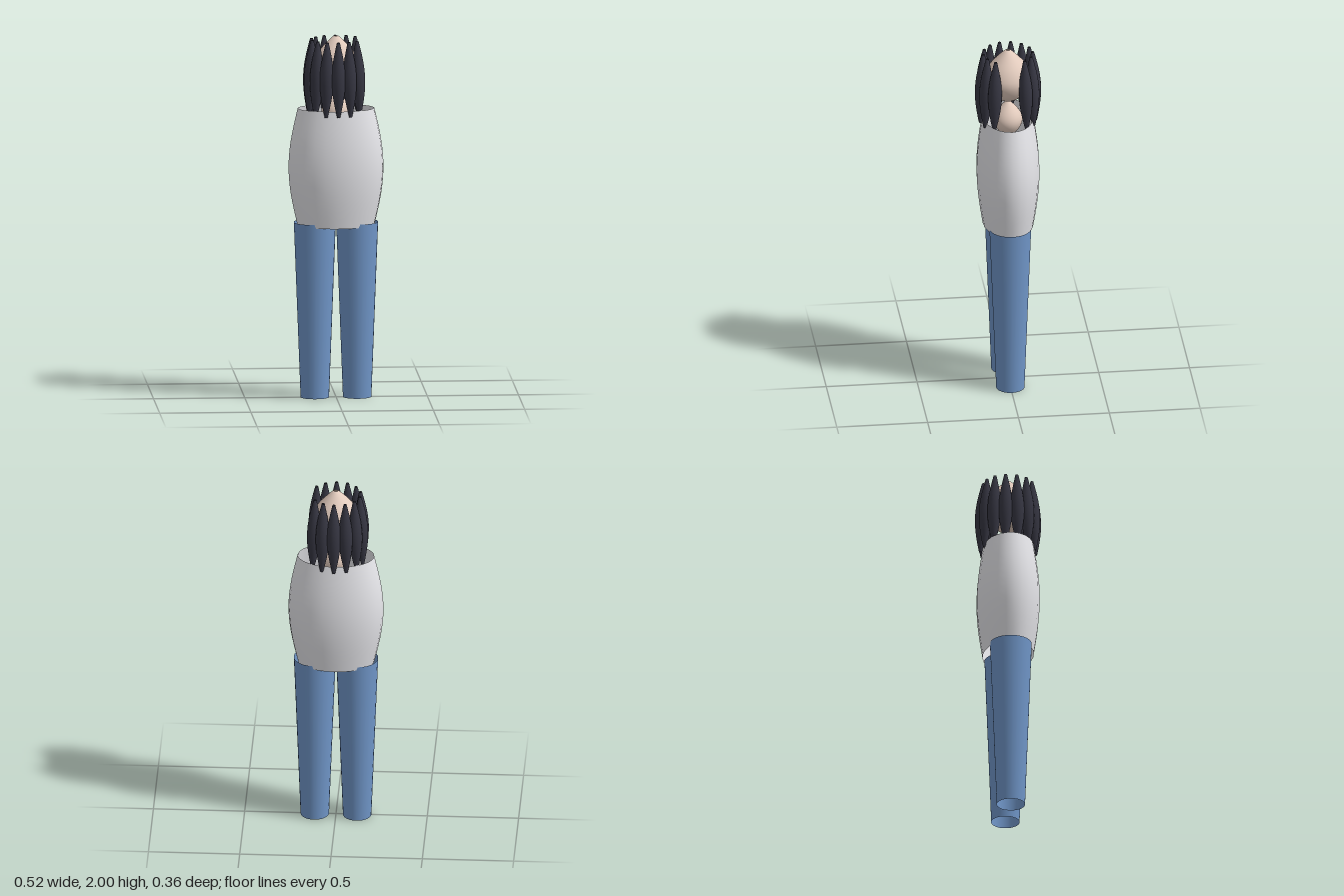
import * as THREE from 'three';

const material = (color) => new THREE.MeshStandardMaterial({ color, side: THREE.DoubleSide });

// Open lathe along y whose radius swells from `end` by `bulge` in the middle
function barrel(y0, y1, end, bulge, sides, rows = 14) {
  const points = [];
  for (let i = 0; i <= rows; i++) {
    const t = i / rows;
    points.push(new THREE.Vector2(end + bulge * Math.sin(Math.PI * t), y0 + (y1 - y0) * t));
  }
  return new THREE.LatheGeometry(points, sides);
}

export function createModel() {
  const model = new THREE.Group();
  const denim = material(0x7096c8);
  const cloth = material(0xe6e6ea);
  const skin = material(0xe2cbbd);
  const hair = material(0x363642);

  const add = (name, geometry, mat, parent = model) => {
    const mesh = new THREE.Mesh(geometry, mat);
    mesh.name = name;
    parent.add(mesh);
    return mesh;
  };

  // Trouser legs: open tapered tubes
  for (const side of [-1, 1]) {
    const leg = add(side > 0 ? 'leftLeg' : 'rightLeg',
      new THREE.CylinderGeometry(0.115, 0.078, 0.97, 24, 1, true), denim);
    leg.position.set(side * 0.116, 0.485, 0);
  }

  // Shirt: open oval barrel
  const torso = add('torso', barrel(0.95, 1.6, 0.21, 0.05, 24), cloth);
  torso.scale.z = 0.66;

  // Neck, pinched where it meets the head
  add('neck', barrel(1.47, 1.69, 0.01, 0.07, 24), skin);

  // Egg-shaped head with a small opening at the crown
  const outline = new THREE.SplineCurve([
    [0.01, 1.69], [0.06, 1.715], [0.107, 1.76], [0.13, 1.83],
    [0.105, 1.9], [0.06, 1.955], [0.022, 1.993], [0.01, 2.0],
  ].map(([r, y]) => new THREE.Vector2(r, y)));
  add('head', new THREE.LatheGeometry(outline.getPoints(21), 24), skin);

  // Ring of spindle-shaped locks, leaning inwards, with a gap at the left side
  const locks = new THREE.Group();
  locks.name = 'hair';
  model.add(locks);
  const lockShape = barrel(-0.207, 0.207, 0.008, 0.03, 16);
  const count = 12;
  for (let i = 0; i < count; i++) {
    const angle = Math.PI * (0.2 + 1.6 * i / (count - 1));
    const pivot = new THREE.Group();
    pivot.name = 'lockPivot';
    pivot.rotation.y = angle;
    locks.add(pivot);
    const lock = add('lock', lockShape, hair, pivot);
    lock.position.set(0.144, 1.775, 0);
    lock.rotation.z = 0.04;
  }

  return model;
}
